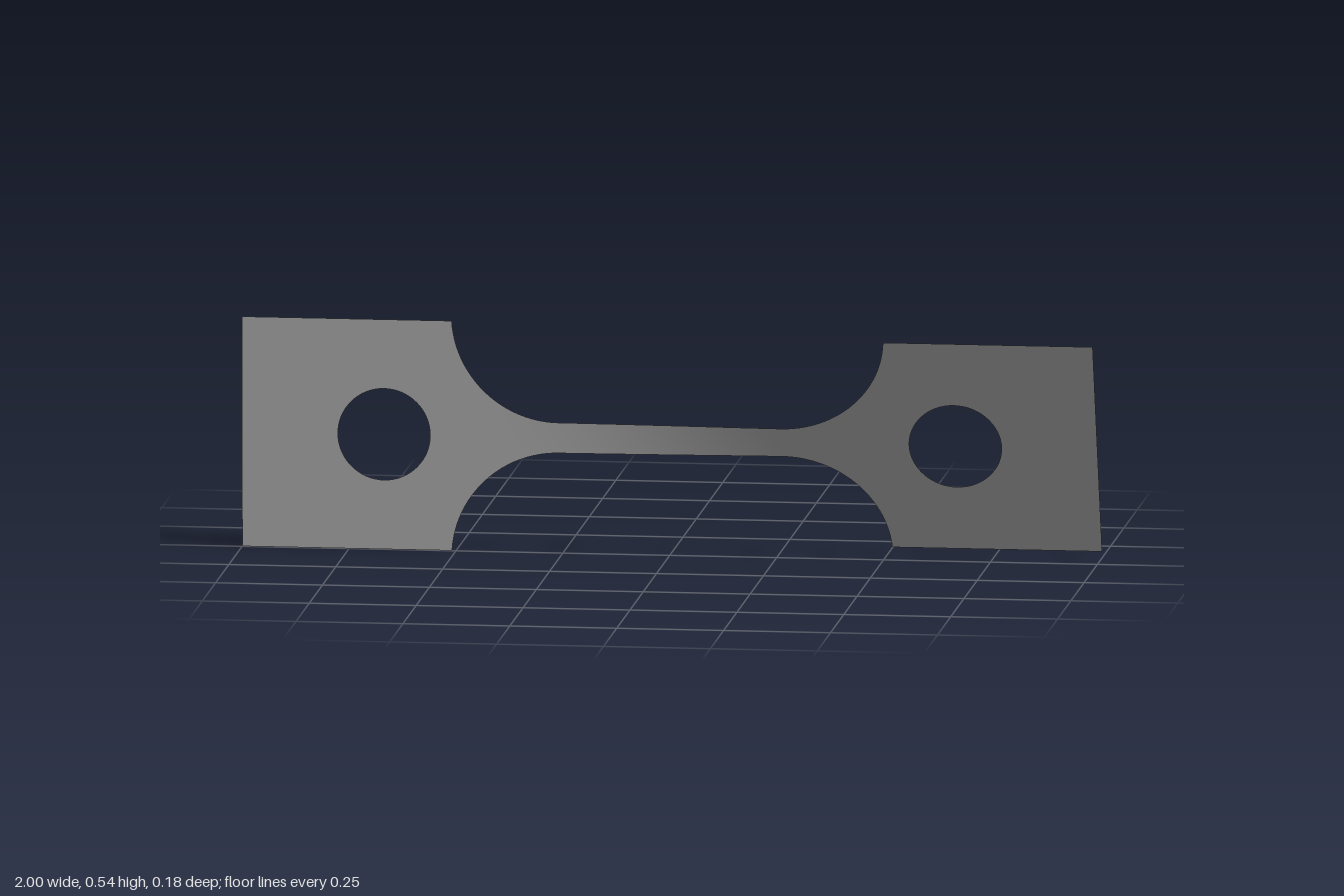
import * as THREE from 'three';

const HALF = 0.271;        // half height of the grips
const NECK = 0.036;        // half height of the narrow gauge
const R = 0.25;            // fillet radius
const FX = 0.26;           // x where the fillets meet the gauge
const START = Math.asin((NECK + R - HALF) / R);
const GRIP_X = FX + R * Math.cos(START);
const ANGLE_A = 0.013, ANGLE_B = 0.335; // twist of the two grips, radians

// Twist angle of the sheet along its length
const twistAt = x => ANGLE_A + (ANGLE_B - ANGLE_A) * THREE.MathUtils.smoothstep(x, -0.42, 0.42);

// Turn every vertex around the long axis by the local twist
function twist(geometry) {
  const p = geometry.attributes.position;
  for (let i = 0; i < p.count; i++) {
    const a = twistAt(p.getX(i)), y = p.getY(i);
    p.setXYZ(i, p.getX(i), HALF + y * Math.cos(a), y * Math.sin(a));
  }
  geometry.computeVertexNormals();
  return geometry;
}

// Square end tab with a round bolt hole
function gripGeometry(side) {
  const x0 = side < 0 ? -1 : GRIP_X, x1 = side < 0 ? -GRIP_X : 1;
  const shape = new THREE.Shape();
  shape.moveTo(x0, -HALF).lineTo(x1, -HALF).lineTo(x1, HALF).lineTo(x0, HALF).closePath();
  const hole = new THREE.Path();
  hole.absarc(side * 0.668, 0, 0.108, 0, Math.PI * 2, true);
  shape.holes.push(hole);
  return twist(new THREE.ShapeGeometry(shape, 32));
}

// Fillets and gauge as one grid of cross-sections
function neckGeometry() {
  const sections = [];
  const N = 24, M = 32;
  for (let i = 0; i <= N; i++) {
    const t = START + (Math.PI / 2 - START) * i / N;
    sections.push([-FX - R * Math.cos(t), NECK + R - R * Math.sin(t)]);
  }
  for (let i = 1; i < M; i++) sections.push([-FX + 2 * FX * i / M, NECK]);
  for (let i = N; i >= 0; i--) sections.push([-sections[i][0], sections[i][1]]);

  const cols = sections.length, rows = 8;
  const g = new THREE.PlaneGeometry(1, 2, cols - 1, rows);
  const p = g.attributes.position;
  for (let i = 0; i < p.count; i++) {
    const [x, h] = sections[i % cols];
    p.setXYZ(i, x, p.getY(i) * h, 0);
  }
  return twist(g);
}

export function createModel() {
  const group = new THREE.Group();
  group.name = 'twistedTestStrip';
  const steel = new THREE.MeshStandardMaterial({ color: 0xb4b4b4, side: THREE.DoubleSide });
  steel.name = 'steelGrey';
  const add = (name, geometry) => {
    const mesh = new THREE.Mesh(geometry, steel);
    mesh.name = name;
    group.add(mesh);
  };
  add('rightGrip', gripGeometry(-1));
  add('neck', neckGeometry());
  add('leftGrip', gripGeometry(1));
  return group;
}
